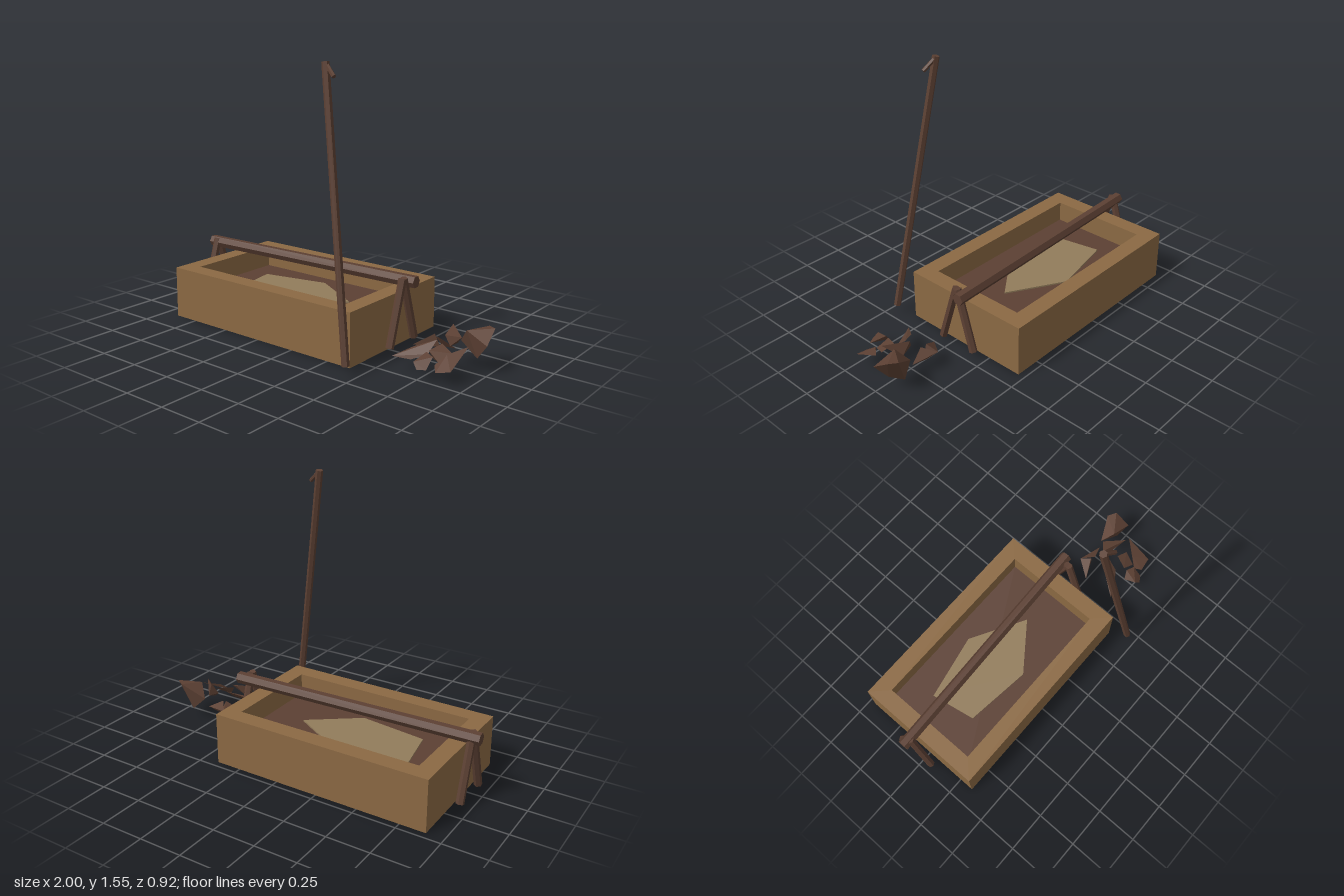
import * as THREE from 'three';
import { ConvexGeometry } from 'three/addons/geometries/ConvexGeometry.js';

const wood = new THREE.MeshStandardMaterial({ color: 0x8b6943 });
wood.name = 'light wood';
const dark = new THREE.MeshStandardMaterial({ color: 0x5c4033 });
dark.name = 'dark wood';
const hideMat = new THREE.MeshStandardMaterial({ color: 0x927c5b });
hideMat.name = 'tan hide';

const V = (x, y, z) => new THREE.Vector3(x, y, z);

function add(group, name, geometry, material) {
  const mesh = new THREE.Mesh(geometry, material);
  mesh.name = name;
  group.add(mesh);
  return mesh;
}

// Six-sided flat-shaded pole between two points
function pole(group, name, a, b, radius, roll = 0) {
  const dir = b.clone().sub(a);
  let geo = new THREE.CylinderGeometry(radius, radius, dir.length(), 6);
  geo.rotateY(roll);
  geo = geo.toNonIndexed();
  geo.computeVertexNormals();
  const mesh = add(group, name, geo, dark);
  mesh.position.copy(a).add(b).multiplyScalar(0.5);
  mesh.quaternion.setFromUnitVectors(V(0, 1, 0), dir.normalize());
  return mesh;
}

// Flat outline in x/z, extruded upwards from y = 0
function slab(points, height, hole) {
  const toShape = (p) => p.map(([x, z]) => new THREE.Vector2(x, -z));
  const shape = new THREE.Shape(toShape(points));
  if (hole) shape.holes.push(new THREE.Path(toShape(hole)));
  const geo = new THREE.ExtrudeGeometry(shape, { depth: height, bevelEnabled: false });
  return geo.rotateX(-Math.PI / 2);
}

const rect = (x0, x1, z0, z1) => [[x0, z1], [x1, z1], [x1, z0], [x0, z0]];

export function createModel() {
  const model = new THREE.Group();
  model.name = 'soakingPit';

  // Open frame with a sunken floor
  add(model, 'frame', slab(rect(-0.9, 0.4, -0.46, 0.34), 0.3, rect(-0.8, 0.3, -0.36, 0.24)), wood);
  add(model, 'floor', slab(rect(-0.8, 0.3, -0.36, 0.24), 0.02), dark).position.y = 0.155;

  // Hide lying on the floor
  const outline = [[-0.65, -0.18], [-0.6, 0.09], [-0.2, 0.14], [0.08, -0.07], [-0.25, -0.26]];
  add(model, 'hide', slab(outline, 0.009), hideMat).position.y = 0.176;

  // Beam resting on two A-shaped stands
  pole(model, 'beam', V(-1, 0.37, -0.067), V(0.5, 0.37, -0.115), 0.035);
  for (const x of [-0.95, 0.45]) {
    const stand = new THREE.Group();
    stand.name = 'stand';
    for (const [z, s] of [[0, -1], [-0.12, 1]]) {
      pole(stand, 'standLeg', V(x, 0.033, z - s * 0.056), V(x, 0.393, z + s * 0.056), 0.023);
    }
    model.add(stand);
  }

  // Long hooked pole
  pole(model, 'hookPole', V(0.45, 0.055, 0.44), V(0.205, 1.55, 0.295), 0.021);
  pole(model, 'hook', V(0.21, 1.54, 0.295), V(0.277, 1.48, 0.318), 0.012);

  // Broken shards beside the frame
  const shards = [
    [[0.81, 0.13, -0.07], [0.94, 0.22, -0.13], [0.99, 0.225, -0.1], [1, 0.16, 0], [0.93, 0.07, -0.03], [0.88, 0.06, -0.1], [0.87, 0.21, -0.02]],
    [[0.565, 0.07, 0.01], [0.64, 0.1, -0.1], [0.7, 0.07, -0.05], [0.67, 0.14, -0.04]],
    [[0.64, 0.1, -0.1], [0.79, 0.08, -0.06], [0.7, 0.13, -0.03], [0.7, 0.07, -0.07]],
    [[0.75, 0.16, -0.01], [0.78, 0.22, -0.04], [0.82, 0.13, -0.02], [0.89, 0.2, 0.06], [0.8, 0.12, 0.02]],
    [[0.57, 0.07, 0.21], [0.64, 0.11, 0.11], [0.74, 0.15, 0.05], [0.73, 0.09, 0.12], [0.66, 0.06, 0.17]],
    [[0.76, 0.13, 0.16], [0.79, 0.15, 0.08], [0.86, 0.12, 0.1], [0.83, 0.09, 0.18], [0.78, 0.09, 0.15]],
    [[0.72, 0.08, 0.2], [0.76, 0.13, 0.18], [0.81, 0.12, 0.2], [0.81, 0.07, 0.26], [0.74, 0.1, 0.27], [0.77, 0.07, 0.285]],
    [[0.82, 0.08, 0.2], [0.93, 0.16, 0.06], [0.93, 0.08, 0.23], [0.86, 0.13, 0.15], [0.85, 0.06, 0.24]],
  ];
  const pile = new THREE.Group();
  pile.name = 'shardPile';
  for (const points of shards) {
    add(pile, 'shard', new ConvexGeometry(points.map((p) => V(...p))), dark);
  }
  model.add(pile);

  return model;
}
